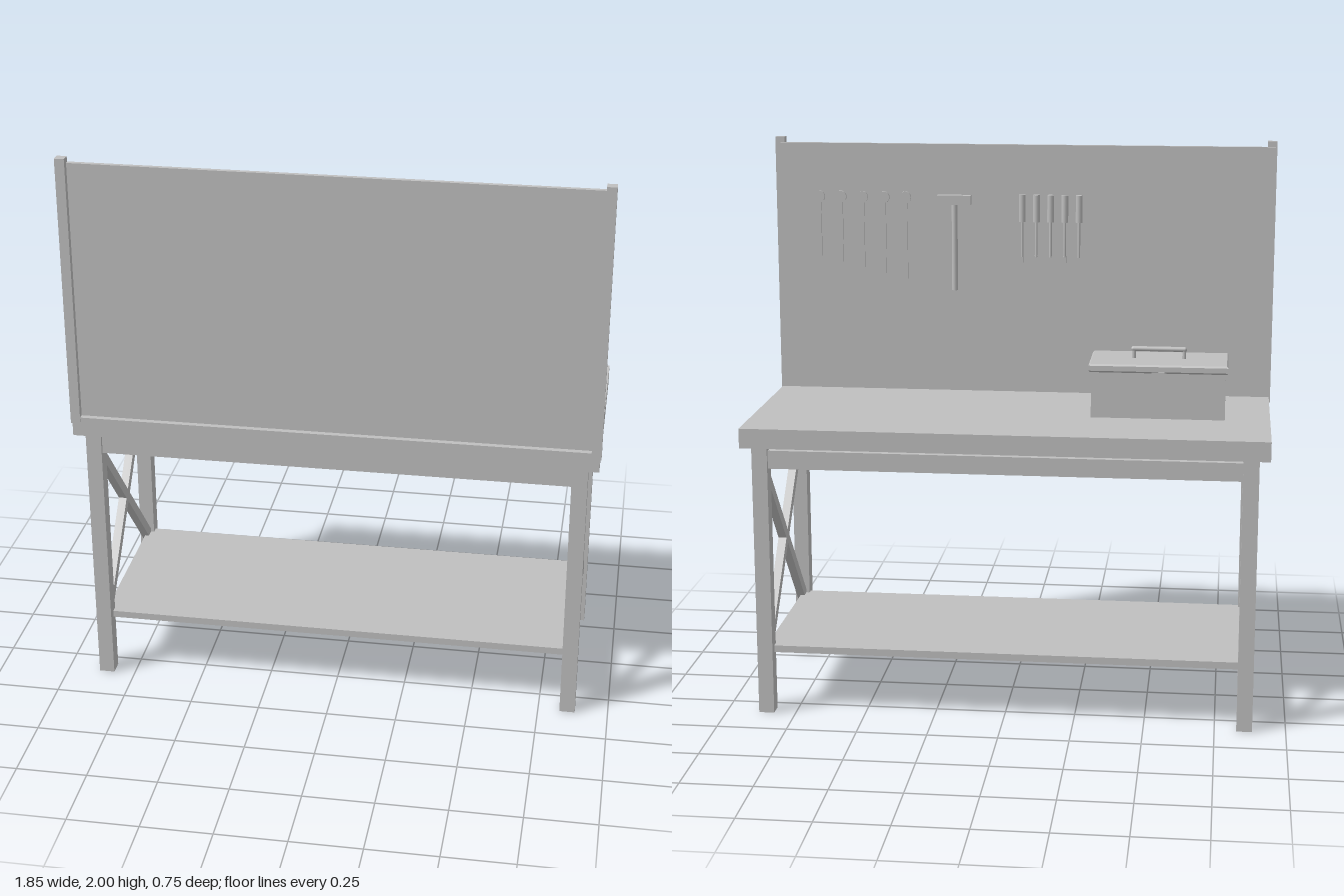
import * as THREE from 'three';

const grey = new THREE.MeshStandardMaterial({ color: 0xbfbfbf });
grey.name = 'light grey';

function add(parent, name, geometry, x, y, z) {
  const mesh = new THREE.Mesh(geometry, grey);
  mesh.name = name;
  mesh.position.set(x, y, z);
  parent.add(mesh);
  return mesh;
}

// Box given by its lower and upper limits on each axis
function box(parent, name, [x0, x1], [y0, y1], [z0, z1]) {
  return add(parent, name, new THREE.BoxGeometry(x1 - x0, y1 - y0, z1 - z0),
    (x0 + x1) / 2, (y0 + y1) / 2, (z0 + z1) / 2);
}

function group(parent, name) {
  const g = new THREE.Group();
  g.name = name;
  parent.add(g);
  return g;
}

function buildBench(root) {
  const bench = group(root, 'bench');
  box(bench, 'tabletop', [-0.92, 0.92], [0.985, 1.055], [-0.373, 0.373]);
  box(bench, 'shelf', [-0.855, 0.855], [0.22, 0.245], [-0.32, 0.32]);
  for (const s of [-1, 1]) {
    add(bench, 'longApron', new THREE.BoxGeometry(1.7, 0.065, 0.03), 0, 0.9375, s * 0.3225);
    add(bench, 'sideApron', new THREE.BoxGeometry(0.03, 0.05, 0.64), s * 0.855, 0.94, 0);
    for (const t of [-1, 1]) {
      add(bench, 'leg', new THREE.BoxGeometry(0.055, 0.985, 0.055), s * 0.855, 0.4925, t * 0.3225);
      // Crossed braces at each end
      const brace = add(bench, 'brace', new THREE.BoxGeometry(0.03, 0.95, 0.035), s * 0.855, 0.56, 0);
      brace.rotation.x = t * Math.atan2(0.32, 0.355);
    }
  }
}

function buildBackboard(root) {
  const board = group(root, 'backboard');
  box(board, 'panel', [-0.92, 0.92], [1.04, 1.98], [0.336, 0.353]);
  for (const s of [-1, 1]) {
    add(board, 'post', new THREE.BoxGeometry(0.034, 0.967, 0.034), s * 0.908, 1.5165, 0.358);
  }
}

function buildToolbox(root) {
  const toolbox = group(root, 'toolbox');
  box(toolbox, 'toolboxBody', [-0.76, -0.285], [1.055, 1.222], [-0.065, 0.178]);
  // Lid with a small bevel
  const w = 0.494, d = 0.256, b = 0.006;
  const shape = new THREE.Shape([
    new THREE.Vector2(-w / 2 + b, -d / 2 + b), new THREE.Vector2(w / 2 - b, -d / 2 + b),
    new THREE.Vector2(w / 2 - b, d / 2 - b), new THREE.Vector2(-w / 2 + b, d / 2 - b)]);
  const lid = new THREE.ExtrudeGeometry(shape, {
    depth: 0.03 - 2 * b, bevelThickness: b, bevelSize: b, bevelSegments: 1 });
  lid.rotateX(-Math.PI / 2);
  add(toolbox, 'toolboxLid', lid, -0.5225, 1.22 + b, 0.054);
  box(toolbox, 'latch', [-0.545, -0.5], [1.19, 1.225], [-0.078, -0.06]);
  // Carrying handle
  for (const x of [-0.61, -0.43]) {
    add(toolbox, 'handleStem', new THREE.CylinderGeometry(0.007, 0.007, 0.04, 12), x, 1.265, 0.056);
  }
  const grip = new THREE.CapsuleGeometry(0.009, 0.182, 4, 12);
  grip.rotateZ(Math.PI / 2);
  add(toolbox, 'handleGrip', grip, -0.52, 1.284, 0.056);
}

function buildTools(root) {
  const tools = group(root, 'tools');
  for (let i = 0; i < 5; i++) {
    // Screwdrivers
    const driver = group(tools, 'screwdriver');
    driver.position.set(-0.21 + i * 0.0525, 0, 0.31);
    add(driver, 'driverHandle', new THREE.CylinderGeometry(0.0125, 0.0125, 0.1, 16), 0, 1.75, 0);
    add(driver, 'driverShaft', new THREE.CylinderGeometry(0.005, 0.005, 0.13, 12), 0, 1.635, 0);
    add(driver, 'driverTip', new THREE.BoxGeometry(0.012, 0.025, 0.005), 0, 1.5625, 0);

    // Wrenches, shorter towards the outer edge
    const wrench = group(tools, 'wrench');
    wrench.position.set(0.437 + i * 0.081, 0, 0.322);
    const disc = new THREE.CylinderGeometry(0.022, 0.022, 0.01, 20);
    disc.rotateX(Math.PI / 2);
    add(wrench, 'wrenchHead', disc, 0, 1.783, 0);
    box(wrench, 'wrenchBar', [-0.008, 0.008], [1.48 + i * 0.02, 1.775], [-0.004, 0.004]);
  }
  // Hammer
  const hammer = group(tools, 'hammer');
  box(hammer, 'hammerHead', [0.19, 0.315], [1.76, 1.795], [0.296, 0.326]);
  const shaft = new THREE.CylinderGeometry(0.011, 0.011, 0.33, 16);
  add(hammer, 'hammerHandle', shaft, 0.2525, 1.605, 0.322);
}

export function createModel() {
  const root = new THREE.Group();
  root.name = 'workbench';
  buildBench(root);
  buildBackboard(root);
  buildToolbox(root);
  buildTools(root);
  return root;
}
